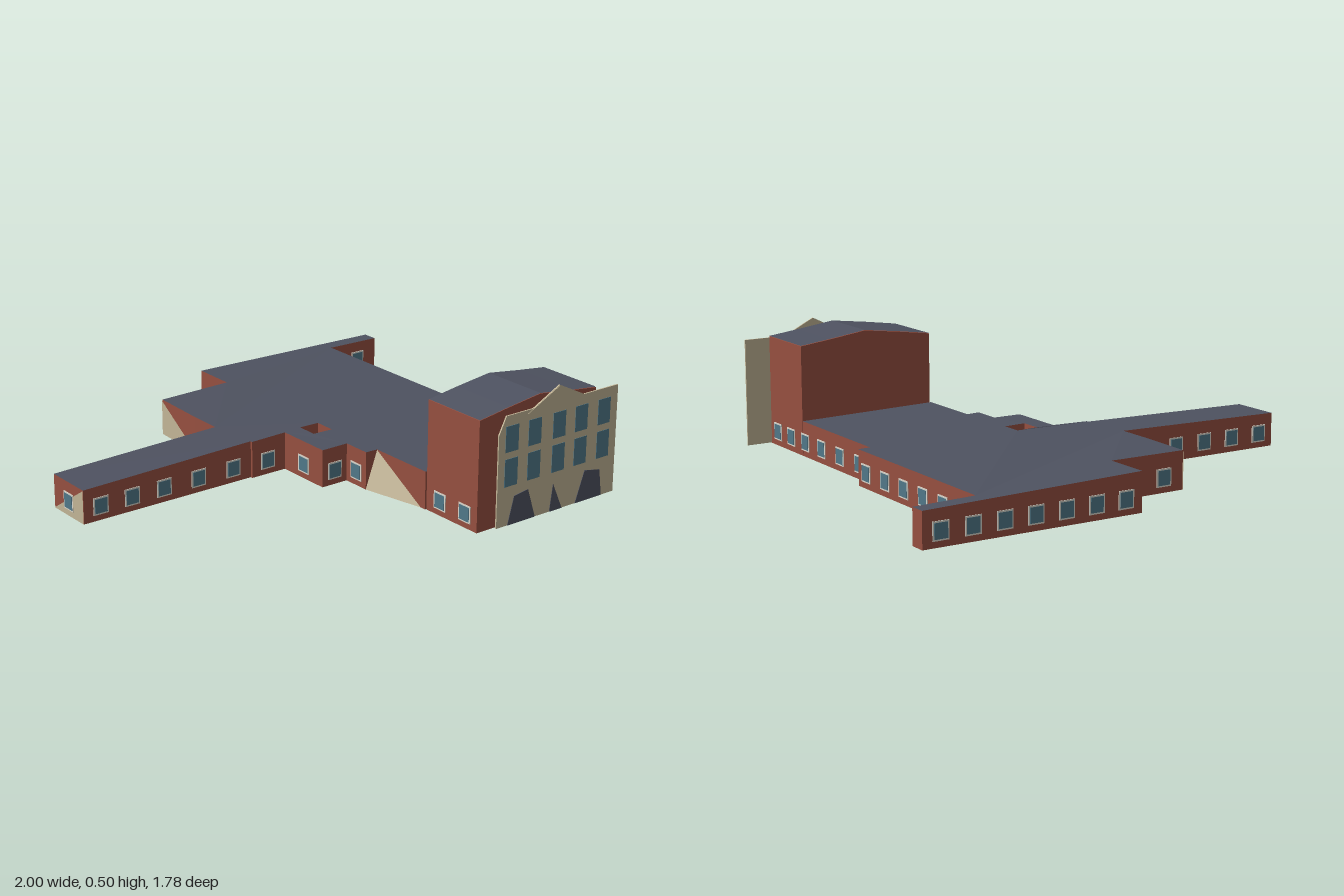
import * as THREE from 'three';

const mat = (name, color, side = THREE.FrontSide) => {
  const m = new THREE.MeshStandardMaterial({ color, side });
  m.name = name;
  return m;
};

export function createModel() {
  const model = new THREE.Group();
  model.name = 'schoolBuilding';
  const brick = mat('brick', 0x964f40, THREE.DoubleSide);
  const slate = mat('slate', 0x4e5260, THREE.DoubleSide);
  const stone = mat('stone', 0xc2b596, THREE.DoubleSide);
  const glass = mat('glass', 0x507888);
  const trim = mat('trim', 0xd8d5ca);

  const add = (name, geometry, material, parent = model) => {
    const mesh = new THREE.Mesh(geometry, material);
    mesh.name = name;
    parent.add(mesh);
    return mesh;
  };
  // geometry from a list of triangle corners, flat shaded
  const faces = (corners) => {
    const g = new THREE.BufferGeometry();
    g.setAttribute('position', new THREE.Float32BufferAttribute(corners.flat(), 3));
    g.computeVertexNormals();
    return g;
  };
  const quad = (a, b, c, d) => [a, b, c, a, c, d];

  // Low building: footprint as [x, z], roof falls gently to both sides
  const outline = [
    [0.09, -0.89], [1, -0.89], [1, -0.825], [0.75, -0.825], [0.75, 0.02], [0.7, 0.02],
    [0.7, 0.58], [0.105, 0.58], [0.105, 0.29], [0.05, 0.29], [0.05, 0.17], [-0.07, 0.17],
    [-0.07, -0.075], [-0.23, -0.075], [-0.23, -0.085], [-1, -0.085], [-1, -0.295],
    [-0.25, -0.3], [-0.25, -0.44], [-0.24, -0.695], [0.09, -0.7],
  ];
  const court = [[0.01, -0.08], [0.01, 0.01], [0.1, 0.01], [0.1, -0.08]];
  const roofY = (x) => 0.157 - 0.02 * Math.abs(x);
  const low = (p) => [p[0], 0, p[1]];
  const high = (p) => [p[0], roofY(p[0]), p[1]];

  const walls = (loop) => loop.flatMap((a, i) => {
    const b = loop[(i + 1) % loop.length];
    return quad(low(a), high(a), high(b), low(b));
  });
  add('lowWalls', faces(walls(outline)), brick);
  add('courtyardWalls', faces(walls(court)), brick);

  // flat fill of the footprint, wound to face up or down
  const fill = (holes, lift, up) => {
    const vec = (loop) => loop.map((p) => new THREE.Vector2(p[0], p[1]));
    const pts = [outline, ...holes].flat();
    return THREE.ShapeUtils.triangulateShape(vec(outline), holes.map(vec)).flatMap((t) => {
      const [a, b, c] = t.map((i) => pts[i]);
      const turn = (b[0] - a[0]) * (c[1] - a[1]) - (b[1] - a[1]) * (c[0] - a[0]);
      return ((turn < 0) === up ? [a, b, c] : [a, c, b]).map(lift);
    });
  };
  add('lowRoof', faces(fill([court], high, true)), slate);
  add('lowFloor', faces(fill([], low, false)), brick);

  // Tall front block with a shallow gable
  const gable = [[0.11, 0.445], [0.25, 0.465], [0.41, 0.485], [0.57, 0.463], [0.7, 0.447]];
  const extrude = (points, depth, z) => {
    const shape = new THREE.Shape(points.map((p) => new THREE.Vector2(p[0], p[1])));
    return new THREE.ExtrudeGeometry(shape, { depth, bevelEnabled: false }).translate(0, 0, z);
  };
  add('frontBlock', extrude([[0.7, 0], ...gable.slice().reverse(), [0.11, 0]], 0.285, 0.583), brick);
  const roof = gable.slice(1).flatMap((b, i) => {
    const a = gable[i];
    const at = (p, z) => [p[0], p[1] + 0.002, z];
    return quad(at(a, 0.583), at(a, 0.868), at(b, 0.868), at(b, 0.583));
  });
  add('frontBlockRoof', faces(roof), slate);

  // Stone facade standing in front of the block
  const facade = new THREE.Group();
  facade.name = 'facade';
  model.add(facade);
  add('facadeWall', extrude([
    [0.195, 0], [0.805, 0], [0.805, 0.44], [0.625, 0.44], [0.495, 0.505],
    [0.365, 0.44], [0.23, 0.44], [0.195, 0.37],
  ], 0.006, 0.876), stone, facade);
  add('pediment', extrude([[0.335, 0.425], [0.61, 0.425], [0.495, 0.503]], 0.003, 0.881), stone, facade);
  for (const x of [0.26, 0.375, 0.5, 0.615, 0.735]) {
    for (const [y, h] of [[0.347, 0.103], [0.213, 0.11]]) {
      add('facadeWindow', new THREE.BoxGeometry(0.064, h, 0.004).translate(x, y, 0.882), glass, facade);
    }
  }
  // dark entrance openings
  [
    [[0.25, 0], [0.39, 0], [0.35, 0.122], [0.28, 0.112]],
    [[0.465, 0], [0.53, 0], [0.48, 0.11]],
    [[0.6, 0], [0.74, 0], [0.725, 0.11], [0.645, 0.125]],
  ].forEach((p) => add('entrance', extrude(p, 0.003, 0.881), slate, facade));

  // Stone infill at the side walls
  add('sideButtress', faces([
    [0.05, 0, 0.29], [0.11, 0, 0.58], [0.105, 0.153, 0.29],
  ]), stone);
  add('sidePanel', faces([
    [-0.243, 0, -0.695], [-0.253, 0, -0.44], [-0.243, 0.148, -0.695],
  ]), stone);
  add('wingEndPanel', faces([
    [-1.002, 0, -0.295], [-1.002, 0, -0.085], [-1.002, 0.135, -0.085],
  ]), stone);

  // Framed windows along the low walls; turn is the facing in quarter turns from +z
  const frameShape = new THREE.BoxGeometry(0.066, 0.07, 0.006);
  const paneShape = new THREE.BoxGeometry(0.054, 0.058, 0.009);
  const addWindow = (x, z, turn) => {
    const w = new THREE.Group();
    w.name = 'window';
    add('windowFrame', frameShape, trim, w);
    add('windowPane', paneShape, glass, w);
    w.position.set(x, 0.059, z);
    w.rotation.y = turn * Math.PI / 2;
    model.add(w);
  };
  // front walls
  [-0.925, -0.785, -0.64, -0.48, -0.315].forEach((x) => addWindow(x, -0.085, 0));
  addWindow(-0.155, -0.075, 0);
  addWindow(-0.01, 0.17, 0);
  addWindow(0.9, -0.825, 0);
  // left walls
  [0.805, 0.685, 0.56, 0.42, 0.265, 0.11].forEach((z) => addWindow(0.7, z, 1));
  [-0.04, -0.185, -0.325, -0.465, -0.605, -0.745].forEach((z) => addWindow(0.75, z, 1));
  // back walls
  for (let i = 0; i < 7; i++) addWindow(0.16 + i * 0.128, -0.89, 2);
  [-0.93, -0.79, -0.65, -0.51, -0.37].forEach((x) => addWindow(x, -0.297, 2));
  [-0.15, 0.0].forEach((x) => addWindow(x, -0.698, 2));
  // right walls
  [[-1, -0.19], [-0.07, 0.05], [0.05, 0.23], [0.11, 0.66], [0.11, 0.8], [0.09, -0.795]]
    .forEach(([x, z]) => addWindow(x, z, -1));

  return model;
}
